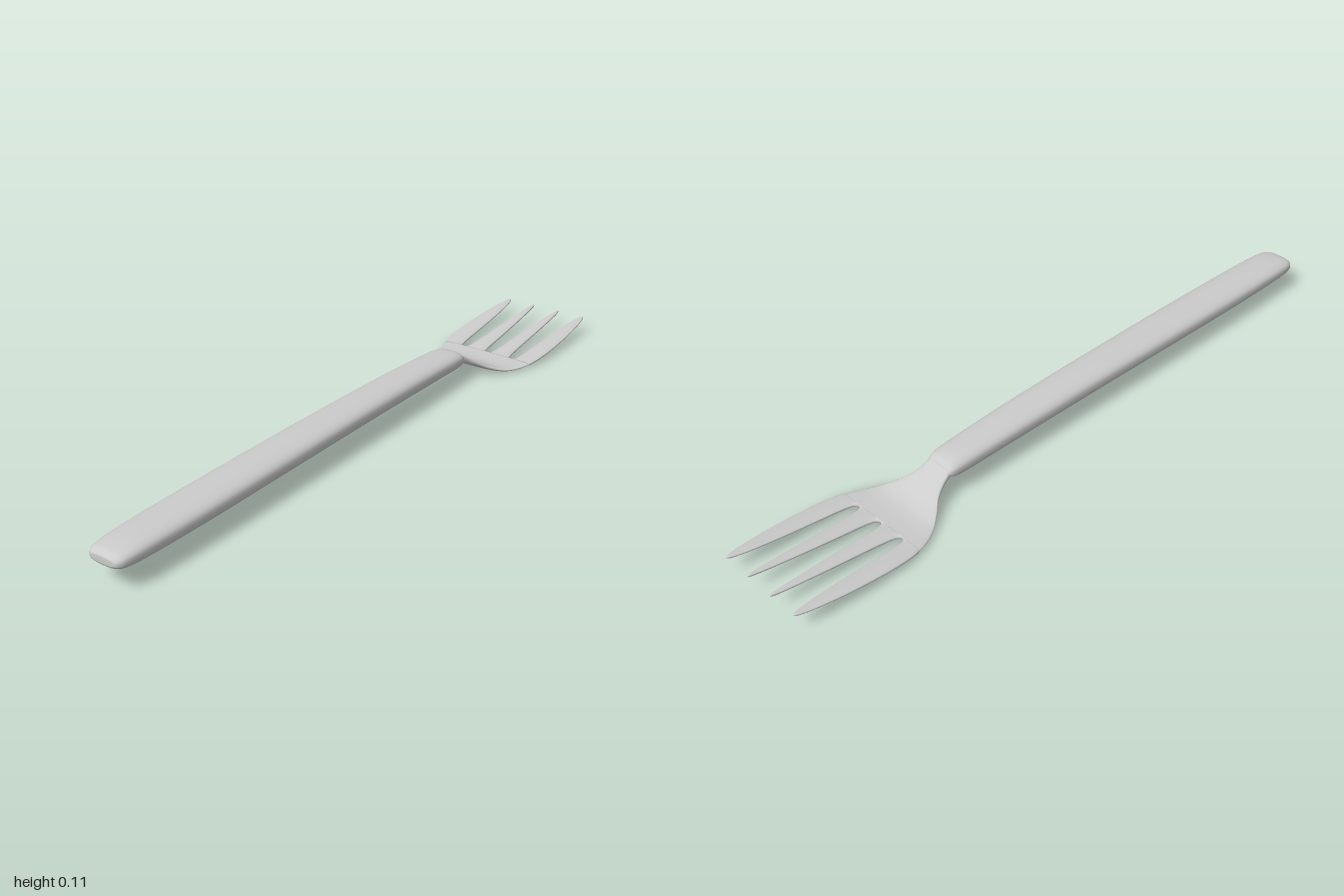
import * as THREE from 'three';

const material = new THREE.MeshStandardMaterial({ color: 0xcccccc, side: THREE.DoubleSide });
const SEG = 36;

// Uniform Catmull-Rom between b and c
function spline(a, b, c, d, t) {
  const m0 = (c - a) / 2, m1 = (d - b) / 2, t2 = t * t, t3 = t2 * t;
  return (2 * t3 - 3 * t2 + 1) * b + (t3 - 2 * t2 + t) * m0 + (3 * t2 - 2 * t3) * c + (t3 - t2) * m1;
}

// Closed loft along x; each station is [x, bottom, top, zMin, zMax], power sets how boxy the section is
function loft(name, stations, power, steps = 5) {
  const last = stations.length - 1;
  const at = i => stations[Math.min(last, Math.max(0, i))];
  const rings = [];
  for (let i = 0; i < last; i++)
    for (let k = 0; k < steps; k++)
      rings.push(at(i).map((v, c) => spline(at(i - 1)[c], v, at(i + 1)[c], at(i + 2)[c], k / steps)));
  rings.push(at(last));

  const pos = [], index = [];
  const bend = v => Math.sign(v) * Math.abs(v) ** (2 / power);
  for (const [x, y0, y1, z0, z1] of rings)
    for (let s = 0; s < SEG; s++) {
      const a = (s / SEG) * Math.PI * 2;
      pos.push(x, (y0 + y1) / 2 + bend(Math.cos(a)) * (y1 - y0) / 2,
        (z0 + z1) / 2 + bend(Math.sin(a)) * (z1 - z0) / 2);
    }
  for (let r = 0; r < rings.length - 1; r++)
    for (let s = 0; s < SEG; s++) {
      const a = r * SEG + s, b = r * SEG + (s + 1) % SEG;
      index.push(a, b, a + SEG, b, b + SEG, a + SEG);
    }
  // End caps
  const n = rings.length * SEG;
  for (const [x, y0, y1, z0, z1] of [rings[0], rings[rings.length - 1]])
    pos.push(x, (y0 + y1) / 2, (z0 + z1) / 2);
  for (let s = 0; s < SEG; s++) {
    const t = (s + 1) % SEG;
    index.push(n, t, s, n + 1, n - SEG + s, n - SEG + t);
  }
  const geometry = new THREE.BufferGeometry();
  geometry.setAttribute('position', new THREE.Float32BufferAttribute(pos, 3));
  geometry.setIndex(index);
  geometry.computeVertexNormals();
  const mesh = new THREE.Mesh(geometry, material);
  mesh.name = name;
  return mesh;
}

const symmetric = rows => rows.map(([x, y0, y1, w]) => [x, y0, y1, -w, w]);

export function createModel() {
  const group = new THREE.Group();
  group.name = 'fork';

  // Thick handle with rounded ends
  group.add(loft('handle', symmetric([
    [-1, 0.07, 0.088, 0.036], [-0.993, 0.062, 0.095, 0.047], [-0.97, 0.056, 0.102, 0.056],
    [-0.9, 0.052, 0.108, 0.061], [-0.7, 0.051, 0.112, 0.064], [-0.4, 0.053, 0.115, 0.063],
    [-0.1, 0.054, 0.116, 0.06], [0.15, 0.053, 0.113, 0.057], [0.3, 0.051, 0.108, 0.054],
    [0.38, 0.05, 0.104, 0.052], [0.415, 0.052, 0.099, 0.049], [0.43, 0.058, 0.091, 0.044],
    [0.436, 0.064, 0.082, 0.038]]), 2.7));

  // Neck sloping down and flaring into the palm
  group.add(loft('neckAndPalm', symmetric([
    [0.41, 0.063, 0.093, 0.04], [0.435, 0.056, 0.085, 0.043], [0.46, 0.046, 0.069, 0.048],
    [0.49, 0.032, 0.051, 0.062], [0.52, 0.016, 0.033, 0.088], [0.55, 0.005, 0.022, 0.112],
    [0.58, 0.002, 0.018, 0.13], [0.61, 0.004, 0.018, 0.143], [0.634, 0.007, 0.019, 0.15]]), 3));

  // Tines: [x, inner edge, outer edge]
  const innerTine = [
    [0.633, 0, 0.085], [0.638, 0.007, 0.079], [0.65, 0.012, 0.074], [0.68, 0.016, 0.07],
    [0.75, 0.02, 0.066], [0.85, 0.027, 0.061], [0.93, 0.034, 0.056], [0.975, 0.039, 0.052],
    [0.993, 0.042, 0.049], [1, 0.045, 0.046]];
  const outerTine = [
    [0.633, 0.085, 0.15], [0.638, 0.092, 0.152], [0.65, 0.097, 0.155], [0.68, 0.101, 0.159],
    [0.75, 0.105, 0.162], [0.85, 0.111, 0.159], [0.93, 0.118, 0.152], [0.975, 0.125, 0.145],
    [0.993, 0.13, 0.14], [1, 0.134, 0.135]];
  for (const [label, rows] of [['InnerTine', innerTine], ['OuterTine', outerTine]])
    for (const side of [1, -1]) {
      const stations = rows.map(([x, a, b]) => {
        const y = 0.013 + (x - 0.633) * 0.094;
        const half = x === 1 ? 0.001 : 0.0065 - (x - 0.633) * 0.008;
        return [x, y - half, y + half, side > 0 ? a : -b, side > 0 ? b : -a];
      });
      group.add(loft((side > 0 ? 'front' : 'back') + label, stations, 3));
    }

  return group;
}
